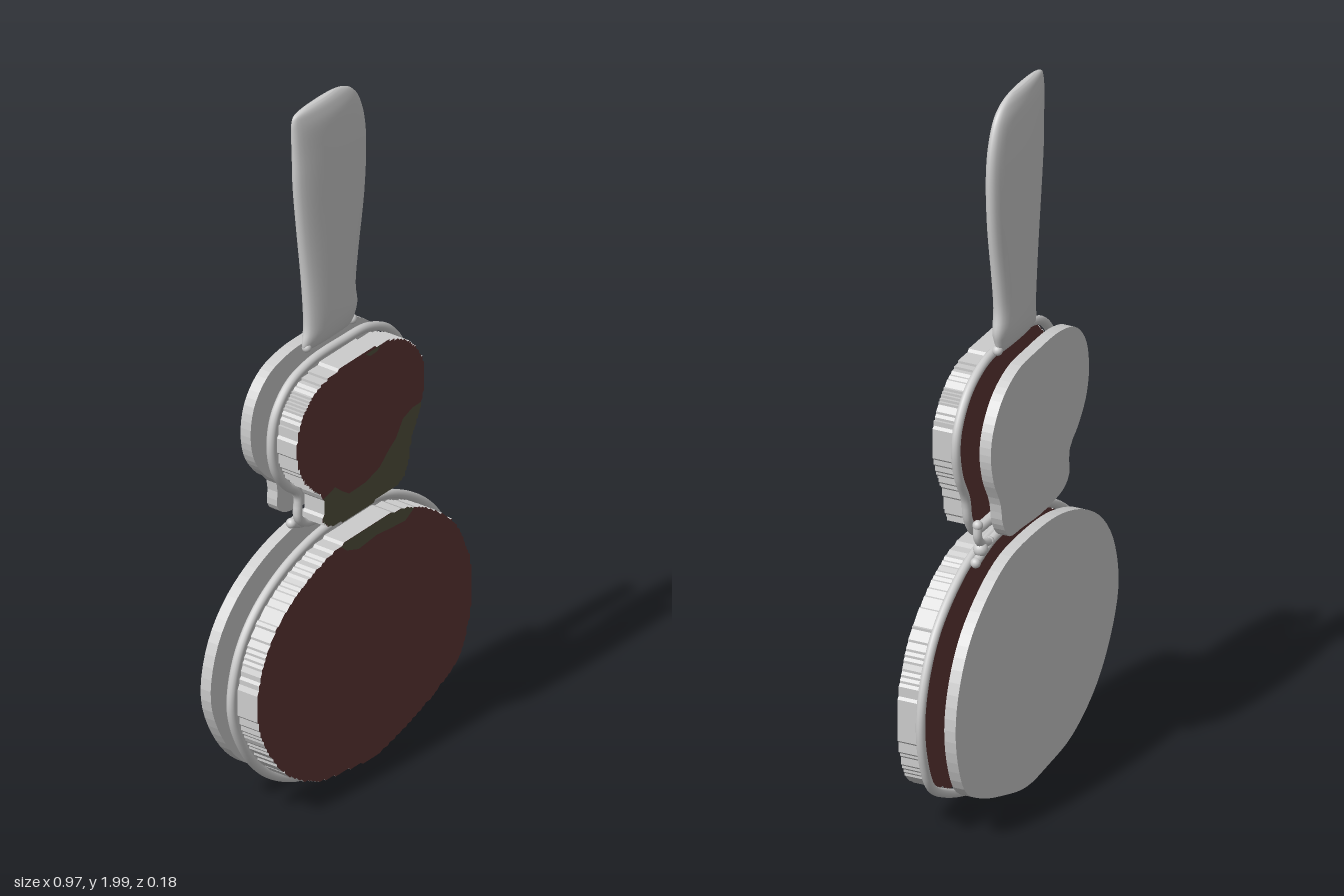
import * as THREE from 'three';
import { mergeVertices } from 'three/addons/utils/BufferGeometryUtils.js';

const grey = new THREE.MeshStandardMaterial({ color: 0xcccccc });
grey.name = 'light grey';
const red = new THREE.MeshStandardMaterial({ color: 0x5e3635 });
red.name = 'dark red';
const olive = new THREE.MeshStandardMaterial({ color: 0x53513e });
olive.name = 'olive';

const v2 = ([x, y]) => new THREE.Vector2(x, y);

function add(parent, name, geometry, material) {
  const mesh = new THREE.Mesh(geometry, material);
  mesh.name = name;
  parent.add(mesh);
  return mesh;
}

// Outer silhouettes of the two discs, clockwise
const LOWER = [
  [0.06, 0.012], [-0.07, 0.02], [-0.215, 0.047], [-0.36, 0.137], [-0.455, 0.27], [-0.488, 0.385],
  [-0.46, 0.52], [-0.39, 0.62], [-0.28, 0.695], [-0.14, 0.742], [0.01, 0.755], [0.165, 0.742],
  [0.285, 0.69], [0.395, 0.6], [0.46, 0.485], [0.483, 0.37], [0.467, 0.255], [0.42, 0.155],
  [0.325, 0.095], [0.2, 0.048],
];
const UPPER = [
  [0, 1.275], [0.11, 1.267], [0.205, 1.22], [0.265, 1.14], [0.279, 1.07], [0.262, 0.985],
  [0.222, 0.905], [0.208, 0.84], [0.165, 0.783], [0.08, 0.773], [-0.05, 0.766], [-0.17, 0.785],
  [-0.202, 0.82], [-0.204, 0.888], [-0.25, 0.93], [-0.3, 1.0], [-0.317, 1.085], [-0.297, 1.175],
  [-0.235, 1.242], [-0.14, 1.272],
];

// Evenly spaced outline, moved inwards
function outline(points, inset, count) {
  const curve = new THREE.CatmullRomCurve3(
    points.map(([x, y]) => new THREE.Vector3(x, y, 0)), true);
  const p = curve.getSpacedPoints(count).slice(0, count);
  return p.map((a, i) => {
    const t = p[(i + 1) % count].clone().sub(p[(i + count - 1) % count]).normalize();
    return new THREE.Vector2(a.x + t.y * inset, a.y - t.x * inset);
  });
}

// Snap an outline to a fine grid so that its wall is ribbed
function stepped(points, grid = 0.007) {
  const out = [];
  for (const p of points) {
    const q = new THREE.Vector2(Math.round(p.x / grid) * grid, Math.round(p.y / grid) * grid);
    if (!out.length || out[out.length - 1].distanceTo(q) > 1e-5) out.push(q);
  }
  if (out[0].distanceTo(out[out.length - 1]) < 1e-5) out.pop();
  return out;
}

function slab(points, z, depth) {
  const g = new THREE.ExtrudeGeometry(new THREE.Shape(points), { depth, bevelEnabled: false });
  return g.translate(0, 0, z);
}

// Height of a border line at x
function heightAt(border, x) {
  for (let i = 1; i < border.length; i++) {
    const [x0, y0] = border[i - 1], [x1, y1] = border[i];
    if (x <= x1) return y0 + (y1 - y0) * Math.max(0, (x - x0) / (x1 - x0));
  }
  return border[border.length - 1][1];
}

// Disc: ribbed front pad, coloured patch, round rim, back plate
function disc(name, points, border, patchBelow) {
  const group = new THREE.Group();
  group.name = name;
  const edge = stepped(outline(points, 0.025, 300));
  add(group, 'frontPad', slab(edge, 0.022, 0.064), [red, grey]);

  const run = edge.filter((p) => (p.y < heightAt(border, p.x)) === patchBelow);
  const ends = [run[0].x, run[run.length - 1].x];
  const inner = border.filter(([x]) => x > Math.min(...ends) && x < Math.max(...ends)).map(v2);
  if (ends[1] > ends[0]) inner.reverse();
  add(group, 'olivePatch', new THREE.ShapeGeometry(new THREE.Shape([...run, ...inner]))
    .translate(0, 0, 0.0872), olive);

  const path = new THREE.CatmullRomCurve3(
    outline(points, 0.0125, 90).map((p) => new THREE.Vector3(p.x, p.y, 0.011)), true);
  add(group, 'rim', new THREE.TubeGeometry(path, 180, 0.0125, 12, true), grey);

  const back = outline(points, 0.014, 80);
  add(group, 'backPlate', slab(back, -0.09, 0.033), grey).position.y = 0.005;
  return group;
}

// Handle rows: y, left x, right x, half thickness
const HANDLE = [
  [2.0, -0.12, 0.0, 0.006], [1.992, -0.165, 0.035, 0.014], [1.975, -0.176, 0.07, 0.021],
  [1.94, -0.176, 0.1, 0.028], [1.87, -0.172, 0.124, 0.032], [1.78, -0.168, 0.131, 0.034],
  [1.65, -0.153, 0.122, 0.034], [1.5, -0.132, 0.096, 0.034], [1.4, -0.122, 0.083, 0.033],
  [1.34, -0.121, 0.092, 0.031], [1.305, -0.13, 0.085, 0.025], [1.285, -0.13, 0.078, 0.017],
  [1.275, -0.115, 0.07, 0.008],
];

function handleGeometry() {
  const side = (k) => new THREE.CatmullRomCurve3(
    HANDLE.map((r) => new THREE.Vector3(r[k], r[0], r[3])), false, 'catmullrom', 0.5);
  const left = side(1), right = side(2);
  let g = new THREE.CylinderGeometry(1, 1, 1, 32, 48);
  const pos = g.attributes.position;
  for (let i = 0; i < pos.count; i++) {
    const u = Math.min(1, Math.max(0, 0.5 - pos.getY(i)));
    const a = left.getPoint(u), b = right.getPoint(u);
    const c = pos.getZ(i);
    pos.setXYZ(i, (a.x + b.x) / 2 + pos.getX(i) * (b.x - a.x) / 2, a.y,
      -0.017 + Math.sign(c) * Math.abs(c) ** 0.85 * a.z);
  }
  g.deleteAttribute('uv');
  g.deleteAttribute('normal');
  g = mergeVertices(g, 1e-5);
  g.computeVertexNormals();
  return g;
}

function knob(parent, name, x, y, z, r) {
  add(parent, name, new THREE.SphereGeometry(r, 16, 12), grey).position.set(x, y, z);
}

export function createModel() {
  const model = new THREE.Group();
  model.name = 'pairedDiscsWithHandle';

  model.add(disc('lowerDisc', LOWER, [
    [-0.5, 0.78], [-0.11, 0.722], [-0.08, 0.7], [-0.03, 0.682], [0.05, 0.69], [0.1, 0.684],
    [0.17, 0.678], [0.21, 0.692], [0.24, 0.7], [0.5, 0.78]], false));
  model.add(disc('upperDisc', UPPER, [
    [-0.4, 0.905], [-0.13, 0.91], [-0.1, 0.885], [-0.07, 0.865], [0, 0.867], [0.06, 0.885],
    [0.1, 0.92], [0.13, 0.94], [0.16, 0.985], [0.2, 1.0], [0.4, 1.01]], true));
  // Small olive mark at the top of the upper pad
  add(model, 'topMark', new THREE.ShapeGeometry(new THREE.Shape(
    [[0, 1.246], [0.02, 1.233], [0.05, 1.234], [0.065, 1.246]].map(v2)))
    .translate(0, 0, 0.0872), olive);

  add(model, 'handle', handleGeometry(), grey);
  knob(model, 'handleFootKnob', 0.076, 1.285, -0.015, 0.014);
  knob(model, 'handleFootKnob', -0.118, 1.285, -0.015, 0.013);

  // Joint between the discs: a bar with a short upright arm
  const joint = new THREE.Group();
  joint.name = 'joint';
  const arms = [
    [[-0.18, 0.79], [-0.13, 0.77], [0, 0.762], [0.12, 0.755], [0.21, 0.73]],
    [[0.13, 0.757], [0.18, 0.775], [0.198, 0.8], [0.197, 0.833]],
  ];
  for (const arm of arms) {
    const path = new THREE.CatmullRomCurve3(arm.map(([x, y]) => new THREE.Vector3(x, y, -0.018)));
    add(joint, 'jointArm', new THREE.TubeGeometry(path, 32, 0.012, 10), grey);
    for (const [x, y] of [arm[0], arm[arm.length - 1]]) knob(joint, 'jointEnd', x, y, -0.018, 0.014);
  }
  knob(joint, 'jointHub', 0.18, 0.757, -0.018, 0.02);
  model.add(joint);

  return model;
}
